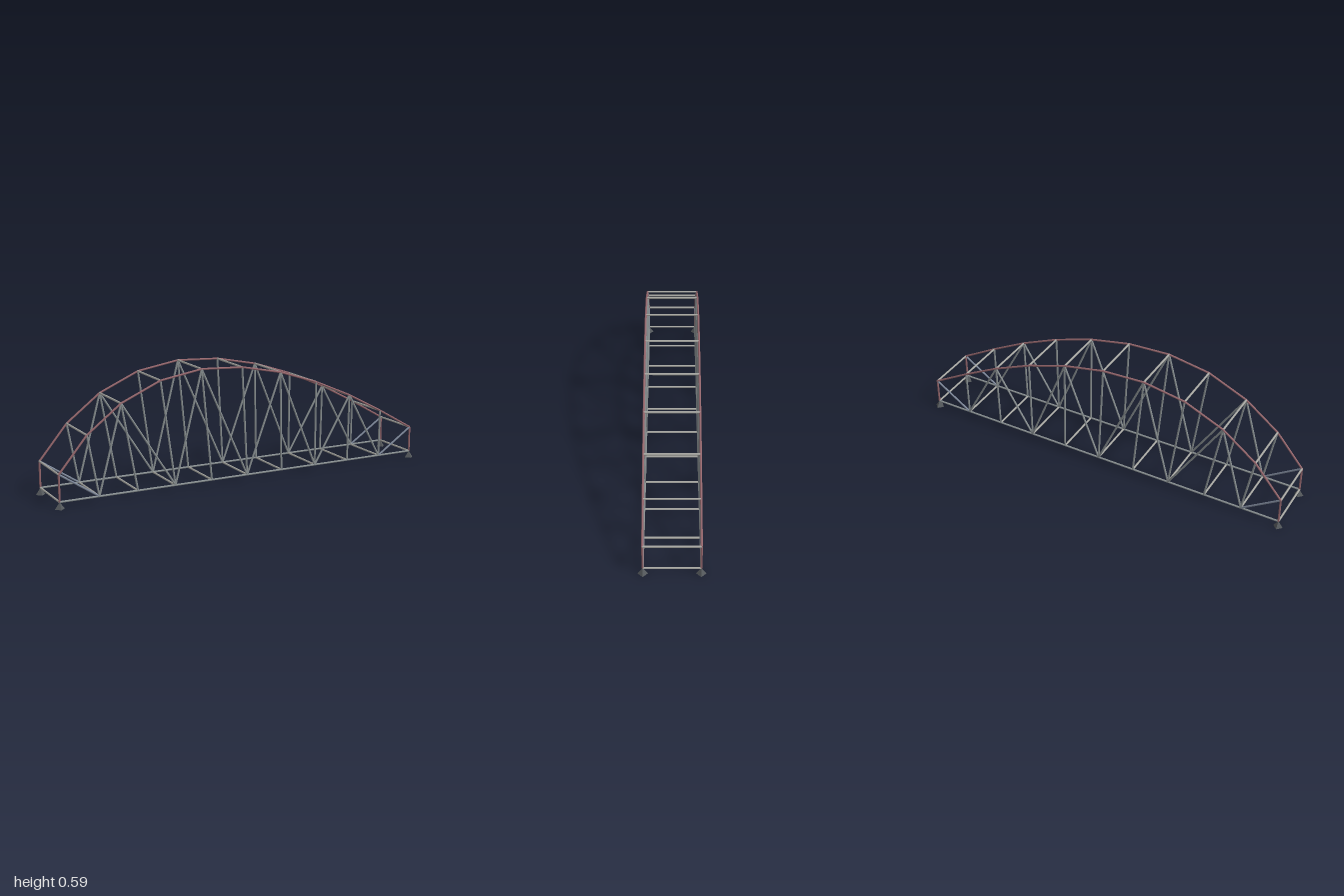
import * as THREE from 'three';

const HALF = 0.976, DECK = 0.033, SIDE = 0.131, R = 0.005;

const paint = (color) => new THREE.MeshStandardMaterial({ color });
const beamGrey = paint(0xa6a6a1), webGrey = paint(0x888f91);
const red = paint(0x94666c), blue = paint(0x7d8799);
const footGrey = new THREE.MeshStandardMaterial({ color: 0x55595c, flatShading: true });

// Arch joints, from the right end to the left end
const arch = [
  [-HALF, 0.163], [-0.835, 0.331], [-0.663, 0.462], [-0.462, 0.55],
  [-0.247, 0.585], [-0.028, 0.574], [0.186, 0.53], [0.393, 0.461],
  [0.593, 0.374], [0.784, 0.273], [HALF, 0.163],
];
const last = arch.length - 1;
const deck = arch.map((_, i) => [-HALF + (2 * HALF * i) / last, DECK]);

// Round bar between two points
function bar(name, a, b, material) {
  const dir = b.clone().sub(a);
  const mesh = new THREE.Mesh(new THREE.CylinderGeometry(R, R, dir.length(), 12), material);
  mesh.name = name;
  mesh.position.copy(a).add(b).multiplyScalar(0.5);
  mesh.quaternion.setFromUnitVectors(new THREE.Vector3(0, 1, 0), dir.normalize());
  return mesh;
}

// One flat truss in the plane z
function sideTruss(name, z) {
  const truss = new THREE.Group();
  truss.name = name;
  const at = ([x, y]) => new THREE.Vector3(x, y, z);
  const add = (part, p, q, material) => truss.add(bar(part, at(p), at(q), material));

  for (let i = 0; i <= last; i++) {
    const end = i === 0 || i === last;
    if (i < last) {
      add('archChord', arch[i], arch[i + 1], red);
      add('bottomChord', deck[i], deck[i + 1], webGrey);
    }
    add(end ? 'endPost' : 'post', arch[i], deck[i], end ? red : webGrey);
    // Diagonals fan down from every second arch joint
    if (i % 2 === 0) {
      if (i > 0) add('diagonal', arch[i], deck[i - 1], end ? blue : webGrey);
      if (i < last) add('diagonal', arch[i], deck[i + 1], end ? blue : webGrey);
    }
  }

  // Pyramid feet under both ends
  for (const x of [-HALF, HALF]) {
    const foot = new THREE.Mesh(new THREE.ConeGeometry(0.024, DECK, 4), footGrey);
    foot.name = 'supportFoot';
    foot.position.set(x, DECK / 2, z);
    truss.add(foot);
  }
  return truss;
}

export function createModel() {
  const model = new THREE.Group();
  model.name = 'archTrussBridge';
  model.add(sideTruss('frontTruss', SIDE), sideTruss('backTruss', -SIDE));

  // Cross beams join the two trusses at every joint
  const beams = new THREE.Group();
  beams.name = 'crossBeams';
  const cross = (name, [x, y]) => beams.add(
    bar(name, new THREE.Vector3(x, y, -SIDE), new THREE.Vector3(x, y, SIDE), beamGrey)
  );
  arch.forEach((p) => cross('topCrossBeam', p));
  deck.forEach((p) => cross('bottomCrossBeam', p));
  model.add(beams);
  return model;
}
